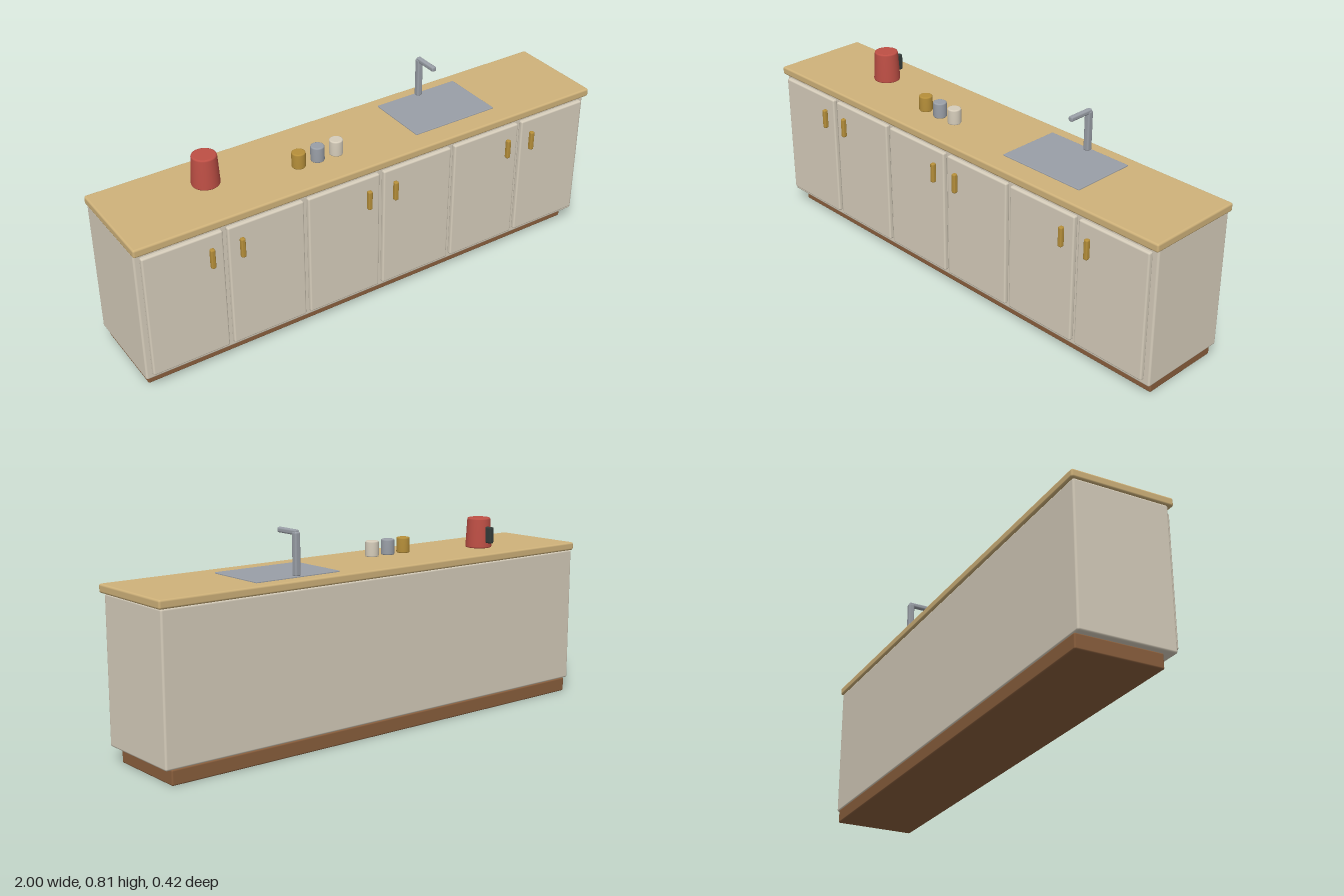
import * as THREE from 'three';
import { RoundedBoxGeometry } from 'three/addons/geometries/RoundedBoxGeometry.js';

const mat = (name, color) => {
  const m = new THREE.MeshStandardMaterial({ color });
  m.name = name;
  return m;
};

export function createModel() {
  const model = new THREE.Group();
  model.name = 'kitchenCounter';

  const cream = mat('creamPaint', 0xd6cdbb);
  const wood = mat('paleWood', 0xcfb27a);
  const brown = mat('brownWood', 0x8a5f3d);
  const brass = mat('brass', 0xb68f3a);
  const steel = mat('steel', 0x9a9fa7);
  const red = mat('redEnamel', 0xbe4f45);
  const dark = mat('darkPlastic', 0x343d3b);

  const add = (name, geometry, material, parent = model) => {
    const mesh = new THREE.Mesh(geometry, material);
    mesh.name = name;
    parent.add(mesh);
    return mesh;
  };

  // Rounded block given by its extents on each axis
  const block = (name, [x0, x1], [y0, y1], [z0, z1], radius, material, parent) => {
    const geo = new RoundedBoxGeometry(x1 - x0, y1 - y0, z1 - z0, 2, radius);
    const mesh = add(name, geo, material, parent);
    mesh.position.set((x0 + x1) / 2, (y0 + y1) / 2, (z0 + z1) / 2);
    return mesh;
  };

  // Tapered round vessel with softened rims
  const vessel = (name, x, z, rBottom, rTop, height, bevel, material, parent) => {
    const points = [
      [0, 0], [rBottom - bevel, 0], [rBottom - bevel * 0.3, bevel * 0.3], [rBottom, bevel],
      [rTop, height - bevel], [rTop - bevel * 0.3, height - bevel * 0.3], [rTop - bevel, height],
      [rTop - bevel, height], [0, height],
    ].map(([r, y]) => new THREE.Vector2(r, y));
    const mesh = add(name, new THREE.LatheGeometry(points, 28), material, parent);
    mesh.position.set(x, 0.635, z);
    return mesh;
  };

  // Cabinet body
  block('plinth', [-0.973, 0.967], [0, 0.057], [-0.2, 0.132], 0.006, brown);
  block('cabinet', [-0.995, 0.99], [0.055, 0.604], [-0.2, 0.172], 0.008, cream);
  block('worktop', [-1, 1], [0.603, 0.636], [-0.207, 0.192], 0.008, wood);

  // Six doors in pairs, with handles on the meeting sides
  const handleX = [-0.715, -0.596, -0.062, 0.055, 0.59, 0.708];
  handleX.forEach((hx, i) => {
    const cx = -0.003 + (i - 2.5) * 0.3267;
    const door = new THREE.Group();
    door.name = 'door' + (i + 1);
    model.add(door);
    block('doorPanel', [cx - 0.154, cx + 0.154], [0.081, 0.59], [0.171, 0.192], 0.007, cream, door);
    block('handle', [hx - 0.009, hx + 0.009], [0.456, 0.536], [0.19, 0.209], 0.006, brass, door);
  });

  // Sink plate and tap
  const sink = new THREE.Group();
  sink.name = 'sink';
  model.add(sink);
  block('sinkPlate', [0.213, 0.581], [0.632, 0.641], [-0.155, 0.105], 0.003, steel, sink);
  block('tapPost', [0.387, 0.411], [0.638, 0.798], [-0.154, -0.129], 0.007, steel, sink);
  block('tapSpout', [0.389, 0.409], [0.785, 0.805], [-0.149, 0.042], 0.007, steel, sink)
    .geometry.scale(1, 1, 107 / 191);
  sink.getObjectByName('tapSpout').position.z = -0.0955;

  // Kettle with a rear handle
  const kettle = new THREE.Group();
  kettle.name = 'kettle';
  model.add(kettle);
  vessel('kettleBody', -0.604, -0.042, 0.053, 0.047, 0.121, 0.006, red, kettle);
  block('kettleHandle', [-0.614, -0.594], [0.657, 0.723], [-0.12, -0.08], 0.006, dark, kettle);

  // Row of three jars
  [brass, steel, cream].forEach((m, i) =>
    vessel('jar' + (i + 1), -0.27 + i * 0.0805, 0.045, 0.0265, 0.0265, 0.062, 0.005, m));

  return model;
}
